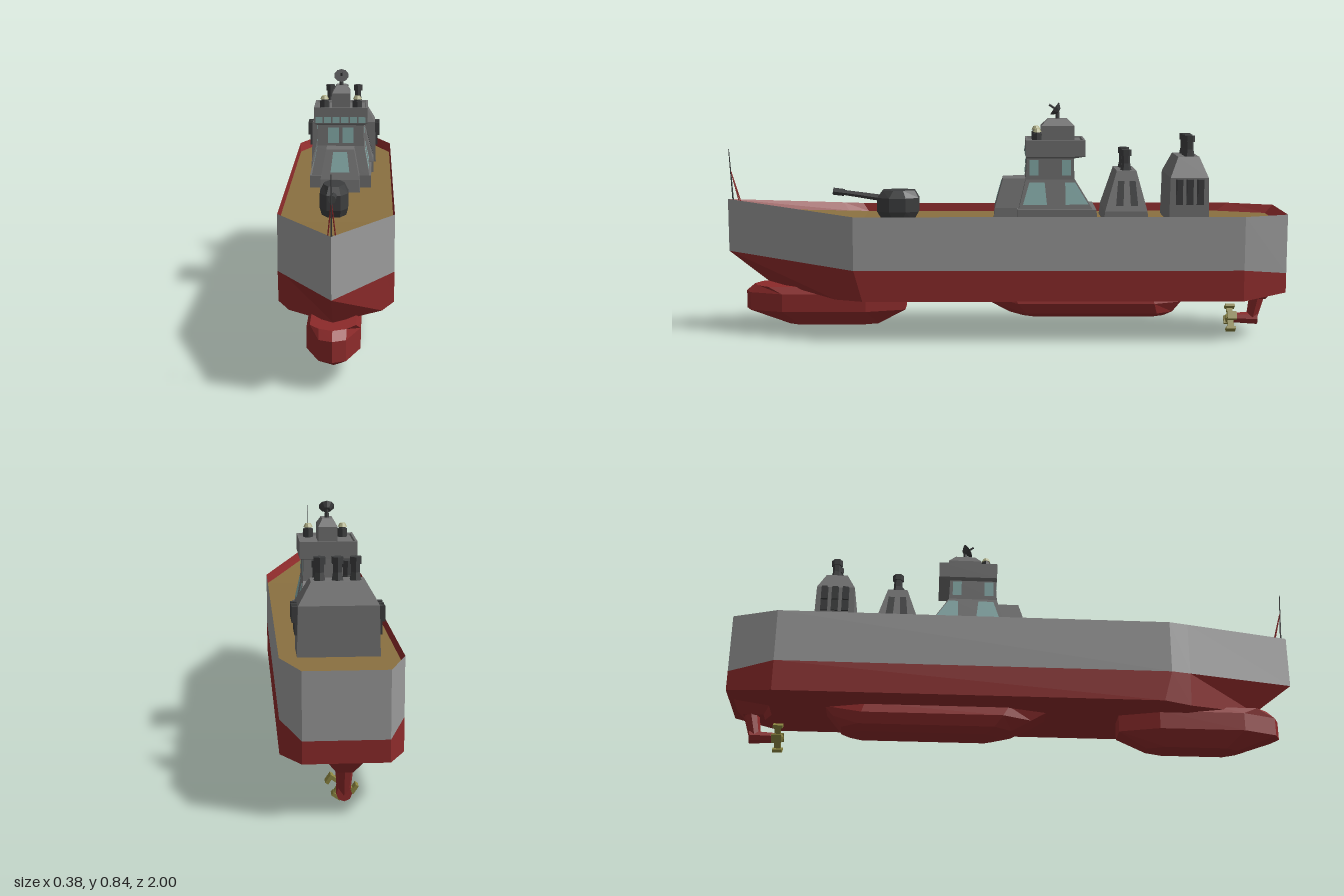
import * as THREE from 'three';

const RED = 0x8c2a2a, HULL = 0x999999, GREY = 0x707070, DARK = 0x3c3d3e;
const DECK = 0x8a7040, GLASS = 0x84aaa8, OLIVE = 0x8a8440, LAMP = 0xb5b58c;

const mirror = (pts) => pts.map(([x, y, z]) => [-x, y, z]);
const quad = (a, b, c, d) => [a, b, c, a, c, d];

// Quads between two point rows of equal length
function band(a, b, closed) {
  const tris = [];
  const n = closed ? a.length : a.length - 1;
  for (let i = 0; i < n; i++) {
    const j = (i + 1) % a.length;
    tris.push(...quad(a[i], b[i], b[j], a[j]));
  }
  return tris;
}

// Stacks horizontal rings from bottom to top and closes both ends
function stack(rings) {
  const tris = [];
  for (let i = 0; i + 1 < rings.length; i++) tris.push(...band(rings[i], rings[i + 1], true));
  const lo = rings[0], hi = rings[rings.length - 1];
  for (let i = 1; i + 1 < lo.length; i++) {
    tris.push(lo[0], lo[i], lo[i + 1]);
    tris.push(hi[0], hi[i + 1], hi[i]);
  }
  return tris;
}

// Rectangular ring, and a ring with cut corners and a shallow pointed nose
const rect = (w, y, z0, z1) => [[w, y, z0], [w, y, z1], [-w, y, z1], [-w, y, z0]];
function pod(w, y, z0, z1, cut, k = 0.5, nose = 0) {
  const half = [[w * k, y, z0], [w, y, z0 + cut], [w, y, z1 - cut], [w * k, y, z1 - nose]];
  return [...half, [0, y, z1], ...mirror(half).reverse()];
}

export function createModel() {
  const root = new THREE.Group();
  const mats = {};
  const mat = (color) => (mats[color] ??= new THREE.MeshStandardMaterial({
    color, flatShading: true, side: THREE.DoubleSide }));

  function add(name, geo, color, x = 0, y = 0, z = 0, parent = root) {
    const mesh = new THREE.Mesh(geo, mat(color));
    mesh.name = name;
    mesh.position.set(x, y, z);
    parent.add(mesh);
    return mesh;
  }
  function solid(name, tris, color, x = 0) {
    const geo = new THREE.BufferGeometry();
    geo.setAttribute('position', new THREE.Float32BufferAttribute(tris.flat(), 3));
    geo.computeVertexNormals();
    return add(name, geo, color, x);
  }
  // Straight round bar between two points
  function bar(name, a, b, r0, r1, color, sides = 8) {
    const p = new THREE.Vector3(...a), d = new THREE.Vector3(...b).sub(p);
    const mesh = add(name, new THREE.CylinderGeometry(r1, r0, d.length(), sides), color);
    mesh.position.copy(p).addScaledVector(d, 0.5);
    mesh.quaternion.setFromUnitVectors(new THREE.Vector3(0, 1, 0), d.normalize());
    return mesh;
  }
  // Mirrored pair of panels on the sides; lo and hi are [x, y, zBack, zFront]
  function sidePanels(name, lo, hi, color) {
    const q = [[lo[0], lo[1], lo[2]], [hi[0], hi[1], hi[2]], [hi[0], hi[1], hi[3]], [lo[0], lo[1], lo[3]]];
    solid(name + 'Left', quad(...q), color);
    solid(name + 'Right', quad(...mirror(q).reverse()), color);
  }
  // Panel facing forward or aft; lo and hi are [y, z, xMin, xMax]
  function endPanel(name, lo, hi, color) {
    const q = [[lo[2], lo[0], lo[1]], [lo[3], lo[0], lo[1]], [hi[3], hi[0], hi[1]], [hi[2], hi[0], hi[1]]];
    solid(name, quad(...q), color);
  }

  // Hull lines on the left side, stern to bow
  const keelLine = [[0.13, 0.17, -1], [0.19, 0.15, -0.84], [0.19, 0.15, 0.5], [0.15, 0.15, 0.6], [0, 0.19, 0.86]];
  const waterLine = [[0.13, 0.24, -1], [0.19, 0.26, -0.84], [0.19, 0.26, 0.53], [0.162, 0.266, 0.6], [0, 0.30, 1]];
  const sheerLine = [[0.13, 0.45, -1], [0.19, 0.45, -0.84], [0.19, 0.45, 0.53], [0.162, 0.456, 0.6], [0, 0.49, 1]];
  const deckLine = [[0.125, 0.42, -0.97], [0.186, 0.42, -0.8], [0.186, 0.42, 0.51], [0.155, 0.426, 0.58], [0, 0.455, 0.965]];
  const ring = (line) => [...line, ...mirror(line.slice(0, -1)).reverse()];
  solid('lowerHull', [...band(ring(keelLine), ring(waterLine), true), ...band(mirror(keelLine), keelLine)], RED);
  solid('upperHull', band(ring(waterLine), ring(sheerLine), true), HULL);
  solid('bulwarkInside', band(ring(sheerLine), ring(deckLine), true), RED);
  solid('deck', band(deckLine, mirror(deckLine)), DECK);

  // Bow bulb and belly keel
  solid('bowBulb', stack([
    pod(0.045, 0.035, 0.46, 0.8, 0.06, 0.5, 0.02), pod(0.083, 0.09, 0.36, 0.94, 0.14, 0.5, 0.02),
    pod(0.083, 0.155, 0.36, 0.94, 0.14, 0.5, 0.02), pod(0.07, 0.18, 0.66, 0.91, 0.06, 0.6, 0.02)]), RED);
  solid('bellyKeel', stack([
    pod(0.045, 0.063, -0.58, -0.07, 0.04), pod(0.075, 0.08, -0.61, -0.02, 0.06),
    pod(0.088, 0.118, -0.64, 0.05, 0.1), pod(0.08, 0.155, -0.67, 0.11, 0.14)]), RED, -0.007);

  // Drive leg and propeller
  solid('driveMount', stack([rect(0.025, 0.125, -0.95, -0.88), rect(0.055, 0.17, -0.985, -0.85)]), RED);
  bar('driveLeg', [0, 0.14, -0.925], [0, 0.045, -0.905], 0.028, 0.02, RED);
  bar('drivePod', [0, 0.05, -0.925], [0, 0.05, -0.84], 0.024, 0.018, RED);
  bar('propellerHub', [0, 0.05, -0.85], [0, 0.05, -0.81], 0.016, 0.012, OLIVE);
  for (let i = 0; i < 4; i++) {
    const blade = new THREE.Group();
    blade.name = 'propellerBlade';
    blade.position.set(0, 0.05, -0.828);
    blade.rotation.z = i * Math.PI / 2 + 0.6;
    root.add(blade);
    add('bladeRoot', new THREE.BoxGeometry(0.012, 0.034, 0.022), OLIVE, 0, 0.025, 0, blade);
    add('bladeTip', new THREE.BoxGeometry(0.03, 0.011, 0.034), OLIVE, 0.008, 0.041, 0, blade);
  }

  // Bridge tower
  solid('bridgeBase', stack([rect(0.112, 0.41, -0.33, -0.045), rect(0.112, 0.465, -0.325, -0.045)]), GREY);
  solid('bridgeTower', stack([
    rect(0.105, 0.465, -0.312, -0.05), rect(0.085, 0.57, -0.248, -0.075), rect(0.083, 0.65, -0.245, -0.08)]), GREY);
  solid('wheelhouse', stack([
    rect(0.083, 0.645, -0.25, -0.08), rect(0.098, 0.652, -0.285, -0.075), rect(0.098, 0.71, -0.285, -0.075),
    rect(0.09, 0.71, -0.277, -0.083), rect(0.088, 0.702, -0.275, -0.085)]), GREY);
  solid('forwardHouse', stack([
    rect(0.072, 0.41, -0.08, 0.04), rect(0.07, 0.465, -0.08, 0.035), rect(0.05, 0.57, -0.08, 0.005)]), GREY);
  solid('roofHouse', stack([
    rect(0.033, 0.7, -0.25, -0.13), rect(0.033, 0.755, -0.25, -0.13), rect(0.018, 0.78, -0.225, -0.155)]), GREY);

  // Bridge windows
  for (let i = 0; i < 6; i++) {
    const x = -0.0925 + i * 0.0315;
    endPanel('wheelhouseWindow', [0.655, -0.073, x, x + 0.026], [0.676, -0.073, x, x + 0.026], GLASS);
  }
  for (const x of [-0.046, 0.006]) {
    endPanel('towerWindow', [0.58, -0.073, x, x + 0.04], [0.638, -0.076, x, x + 0.04], GLASS);
  }
  endPanel('forwardWindow', [0.49, 0.03, -0.034, 0.034], [0.562, 0.01, -0.025, 0.025], GLASS);
  sidePanels('frontSideWindow', [0.104, 0.482, -0.15, -0.065], [0.0885, 0.56, -0.142, -0.088], GLASS);
  sidePanels('rearSideWindow', [0.104, 0.482, -0.298, -0.215], [0.0885, 0.56, -0.25, -0.215], GLASS);
  for (const z of [-0.12, -0.235]) {
    sidePanels('upperSideWindow', [0.0865, 0.585, z, z + 0.032], [0.0855, 0.64, z, z + 0.032], GLASS);
  }

  // Roof lamps and radar dish
  for (const x of [-0.06, 0.06]) {
    add('lampBase', new THREE.CylinderGeometry(0.017, 0.017, 0.03, 8), DARK, x, 0.716, -0.115);
    add('lampNeck', new THREE.CylinderGeometry(0.012, 0.012, 0.01, 8), DARK, x, 0.733, -0.115);
    add('lampGlass', new THREE.CylinderGeometry(0.01, 0.016, 0.013, 8), LAMP, x, 0.743, -0.115);
  }
  bar('radarPost', [0, 0.775, -0.19], [0, 0.812, -0.19], 0.008, 0.006, DARK);
  bar('radarDish', [0, 0.806, -0.194], [0, 0.816, -0.18], 0.012, 0.027, DARK, 10);
  bar('radarFeed', [0, 0.814, -0.184], [0, 0.83, -0.16], 0.004, 0.004, DARK, 6);

  // Funnel houses with their exhaust stacks
  solid('midFunnelHouse', stack([
    rect(0.122, 0.41, -0.51, -0.35), rect(0.12, 0.46, -0.505, -0.355), rect(0.082, 0.6, -0.468, -0.398)]), GREY);
  solid('aftFunnelHouse', stack([
    rect(0.13, 0.41, -0.722, -0.58), rect(0.126, 0.58, -0.718, -0.584), rect(0.085, 0.65, -0.69, -0.615)]), GREY);
  for (const [y, z, xs] of [[0.6, -0.433, [-0.05, 0.05]], [0.65, -0.657, [-0.056, 0, 0.056]]]) {
    for (const x of xs) {
      add('stackFoot', new THREE.CylinderGeometry(0.015, 0.021, 0.03, 6), DARK, x, y + 0.01, z);
      add('stackPipe', new THREE.CylinderGeometry(0.015, 0.015, 0.04, 6), DARK, x, y + 0.035, z);
      add('stackCap', new THREE.CylinderGeometry(0.02, 0.02, 0.022, 6), DARK, x, y + 0.062, z);
    }
  }
  // Side vents
  for (const s of [-1, 1]) {
    const z = -0.433 + s * 0.02;
    sidePanels('midVent', [0.117, 0.48, z + s * 0.006 - 0.013, z + s * 0.006 + 0.013],
      [0.094, 0.565, z - 0.011, z + 0.011], DARK);
  }
  for (const z of [-0.615, -0.652, -0.689]) {
    for (const s of [-1, 1]) {
      add('aftVent', new THREE.BoxGeometry(0.012, 0.09, 0.024), DARK, s * 0.13, 0.53, z);
      add('aftVentHood', new THREE.BoxGeometry(0.018, 0.05, 0.02), DARK, s * 0.136, 0.55, z);
    }
  }

  // Deck gun
  solid('gunTurret', stack([
    pod(0.038, 0.41, 0.33, 0.44, 0.04), pod(0.047, 0.445, 0.31, 0.46, 0.045),
    pod(0.047, 0.495, 0.31, 0.46, 0.045), pod(0.034, 0.522, 0.325, 0.44, 0.04)]), DARK, -0.01);
  bar('gunBarrel', [-0.01, 0.49, 0.43], [-0.01, 0.515, 0.6], 0.012, 0.009, DARK);
  bar('gunMuzzle', [-0.01, 0.512, 0.58], [-0.01, 0.517, 0.62], 0.013, 0.013, DARK);

  // Bow staff with stays
  bar('bowStaff', [0, 0.47, 0.98], [0, 0.67, 0.992], 0.003, 0.0015, DARK, 6);
  for (const x of [-0.012, 0.012]) bar('bowStay', [x, 0.475, 0.955], [0, 0.59, 0.986], 0.002, 0.002, RED, 5);

  return root;
}
